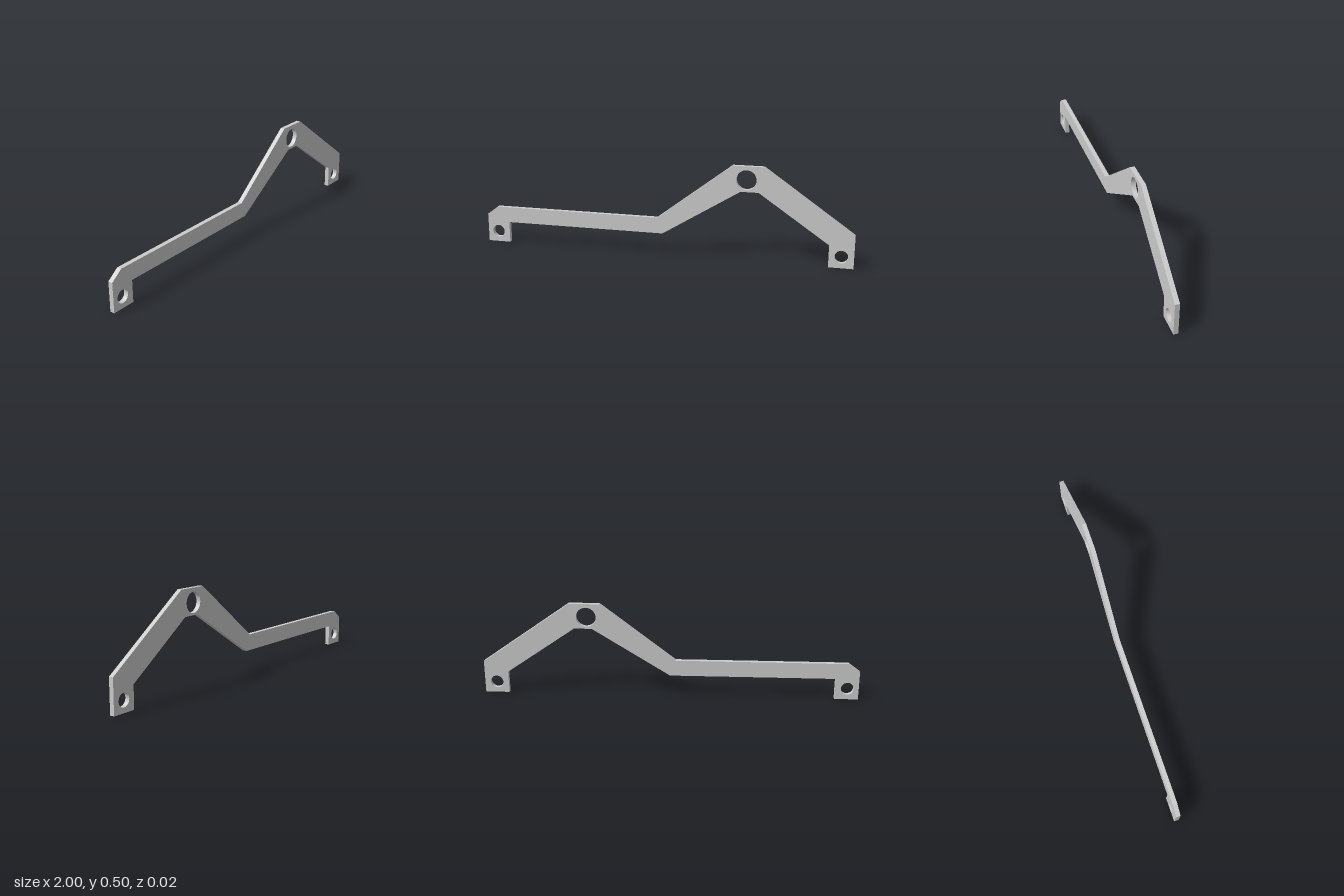
import * as THREE from 'three';

const THICKNESS = 0.024;

export function createModel() {
  const group = new THREE.Group();
  group.name = 'bracket';

  // Plate outline, counter-clockwise from the lower right-hand foot
  const outline = [
    [-1, 0], [-0.875, 0], [-0.875, 0.115], [0, 0.115],
    [0.412, 0.37], [0.505, 0.37], [0.872, 0.118], [0.872, 0],
    [1, 0], [1, 0.176], [0.53, 0.505], [0.368, 0.505],
    [-0.03, 0.2], [-0.94, 0.2], [-1, 0.155],
  ];
  const shape = new THREE.Shape(outline.map(([x, y]) => new THREE.Vector2(x, y)));

  // Two foot holes and the larger hole at the peak: x, y, radius
  for (const [x, y, r] of [[-0.94, 0.06, 0.034], [0.936, 0.06, 0.034], [0.441, 0.433, 0.052]]) {
    shape.holes.push(new THREE.Path().absarc(x, y, r, 0, Math.PI * 2, true));
  }

  const geometry = new THREE.ExtrudeGeometry(shape, {
    depth: THICKNESS, bevelEnabled: false, curveSegments: 24,
  });
  geometry.translate(0, 0, -THICKNESS / 2);

  const plate = new THREE.Mesh(geometry, new THREE.MeshStandardMaterial({ color: 0xcccccc }));
  plate.name = 'bentPlate';
  group.add(plate);
  return group;
}
